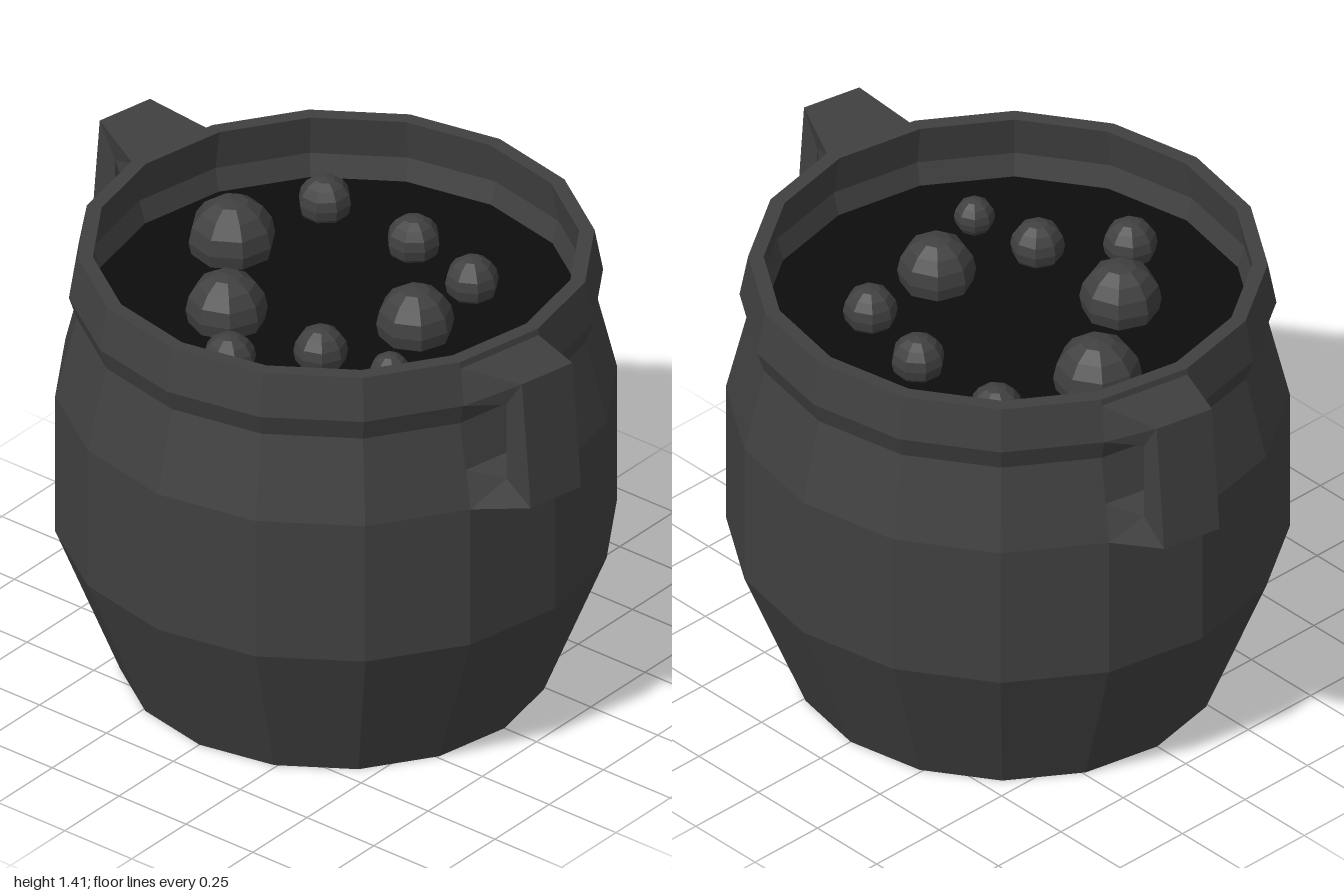
import * as THREE from 'three';

const SIDES = 16;
const HALF = Math.PI / SIDES; // half the angle of one facet
const LIQUID_Y = 1.2;

const iron = new THREE.MeshStandardMaterial({ color: 0x404040, flatShading: true });
const broth = new THREE.MeshStandardMaterial({ color: 0x0d0d0d, flatShading: true });

function addMesh(parent, name, geometry, material) {
  const mesh = new THREE.Mesh(geometry, material);
  mesh.name = name;
  parent.add(mesh);
  return mesh;
}

// Four-cornered sweep: each section has an outer and inner edge [z, y] and their half widths
function handleGeometry() {
  // A root edge spans one whole facet of the pot at radius r
  const root = (r, y) => [r * Math.cos(HALF), y, r * Math.sin(HALF)];
  const sections = [
    [root(0.757, 1.385), root(0.78, 1.27)],
    [[0.96, 1.412, 0.095], [0.89, 1.31, 0.095]],
    [[1.0, 1.01, 0.095], [0.89, 1.06, 0.095]],
    [root(0.82, 0.94), root(0.793, 1.06)],
  ];
  const positions = [];
  const index = [];
  for (const [[oz, oy, ow], [iz, iy, iw]] of sections) {
    positions.push(-ow, oy, oz, ow, oy, oz, iw, iy, iz, -iw, iy, iz);
  }
  for (let s = 0; s < sections.length - 1; s++) {
    for (let k = 0; k < 4; k++) {
      const a = s * 4 + k;
      const a2 = s * 4 + (k + 1) % 4;
      index.push(a, a + 4, a2 + 4, a, a2 + 4, a2);
    }
  }
  const geometry = new THREE.BufferGeometry();
  geometry.setAttribute('position', new THREE.Float32BufferAttribute(positions, 3));
  geometry.setIndex(index);
  geometry.computeVertexNormals();
  return geometry;
}

export function createModel() {
  const model = new THREE.Group();
  model.name = 'cauldron';

  // Pot: outside from the base up, over the rim, then down inside to the liquid
  const profile = [
    [0, 0], [0.63, 0], [0.82, 0.48], [0.82, 0.94], [0.757, 1.2], [0.78, 1.27],
    [0.755, 1.405], [0.71, 1.405], [0.735, 1.27], [0.712, LIQUID_Y - 0.01],
  ].map(([r, y]) => new THREE.Vector2(r, y));
  addMesh(model, 'pot', new THREE.LatheGeometry(profile, SIDES), iron);

  // Liquid surface
  const surface = new THREE.CircleGeometry(0.715, SIDES);
  surface.rotateX(-Math.PI / 2);
  addMesh(model, 'liquid', surface, broth).position.y = LIQUID_Y;

  // Bubbles rising out of the liquid: x, z, radius
  const bubbles = new THREE.Group();
  bubbles.name = 'bubbles';
  model.add(bubbles);
  for (const [x, z, r] of [
    [0.05, -0.43, 0.13], [0.38, -0.35, 0.08], [-0.27, -0.19, 0.12],
    [0.37, -0.01, 0.08], [-0.48, -0.01, 0.08], [-0.28, 0.17, 0.08],
    [0.02, 0.28, 0.115], [0.3, 0.265, 0.08], [-0.245, 0.4, 0.06],
  ]) {
    const bubble = addMesh(bubbles, 'bubble', new THREE.SphereGeometry(r, 8, 8), iron);
    bubble.position.set(x, LIQUID_Y + 0.04, z);
    bubble.rotation.y = x * 3;
  }

  // Two handles on opposite facets
  const handle = handleGeometry();
  addMesh(model, 'frontHandle', handle, iron).rotation.y = -HALF;
  addMesh(model, 'backHandle', handle, iron).rotation.y = Math.PI - HALF;

  return model;
}
